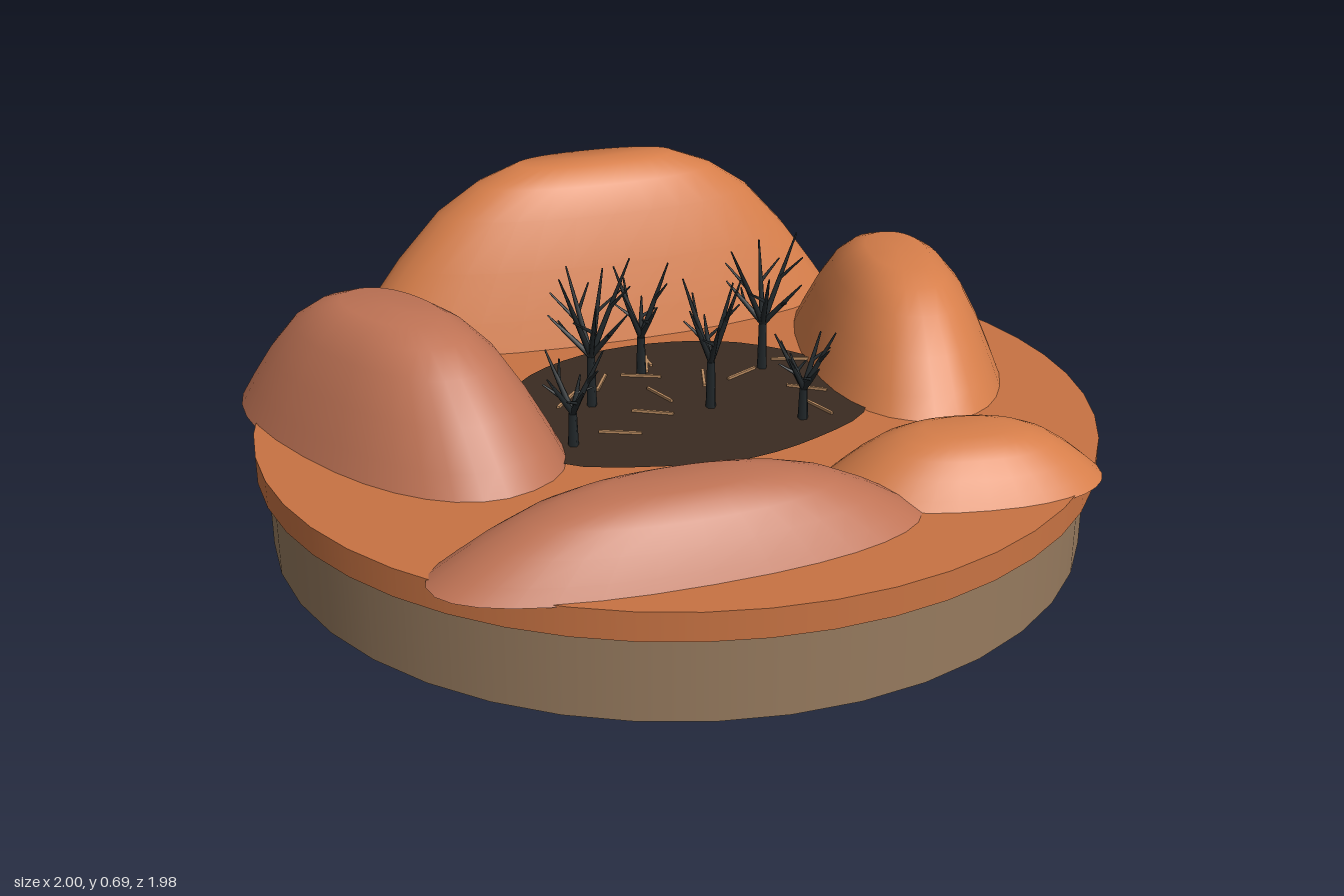
import * as THREE from 'three';

const mat = (name, color, extra = {}) => {
  const m = new THREE.MeshStandardMaterial({ color, ...extra });
  m.name = name;
  return m;
};

// Smooth flat-topped mound built from concentric oval rings
function moundGeometry(halfLength, halfWidth, height) {
  const rings = [[1, -0.03], [0.91, 0.18], [0.78, 0.46], [0.62, 0.74], [0.47, 0.9], [0.31, 1]];
  const n = 32, pos = [], index = [];
  const bulge = (v) => Math.sign(v) * Math.abs(v) ** 0.88;
  for (const [k, h] of rings) {
    for (let i = 0; i < n; i++) {
      const a = (i / n) * Math.PI * 2;
      pos.push(bulge(Math.cos(a)) * halfLength * k, h * height, bulge(Math.sin(a)) * halfWidth * k);
    }
  }
  pos.push(0, height, 0);
  const apex = rings.length * n;
  for (let r = 0; r < rings.length; r++) {
    for (let i = 0; i < n; i++) {
      const j = (i + 1) % n, a = r * n + i, b = r * n + j;
      if (r === rings.length - 1) index.push(a, apex, b);
      else index.push(a, a + n, b, b, a + n, b + n);
    }
  }
  const g = new THREE.BufferGeometry();
  g.setAttribute('position', new THREE.Float32BufferAttribute(pos, 3));
  g.setIndex(index);
  g.computeVertexNormals();
  return g;
}

// Tapered twig between two points
function twig(from, to, r0, r1, material) {
  const dir = to.clone().sub(from);
  const m = new THREE.Mesh(new THREE.CylinderGeometry(r1, r0, dir.length(), 5), material);
  m.position.copy(from).addScaledVector(dir, 0.5);
  m.quaternion.setFromUnitVectors(new THREE.Vector3(0, 1, 0), dir.normalize());
  m.name = 'twig';
  return m;
}

// Short trunk with leaning, forked branches
function shrub(height, spread, count, turn, material) {
  const g = new THREE.Group();
  g.name = 'shrub';
  const V = (x, y, z) => new THREE.Vector3(x, y, z);
  const fork = V(0, height * 0.36, 0);
  g.add(twig(V(0, 0, 0), fork, 0.013, 0.01, material));
  for (let i = 0; i < count; i++) {
    const a = turn + (i / count) * Math.PI * 2;
    const top = height * (0.82 + 0.18 * Math.cos(i * 2.3));
    const at = (r, y, da = 0) => V(Math.cos(a + da) * r, y, Math.sin(a + da) * r);
    const mid = at(spread * 0.5, height * 0.36 + (top - height * 0.36) * 0.5);
    g.add(twig(fork, mid, 0.008, 0.006, material));
    g.add(twig(mid, at(spread, top), 0.006, 0.002, material));
    g.add(twig(mid, at(spread * 0.95, top * 0.86, 0.55), 0.005, 0.002, material));
  }
  return g;
}

export function createModel() {
  const model = new THREE.Group();
  model.name = 'desertDiorama';
  const brown = mat('base brown', 0x967a5e);
  const sand = mat('sand orange', 0xc87343);
  const orange = mat('dune orange', 0xd67e4a);
  const clay = mat('dune clay', 0xbf7355);
  const soil = mat('dark soil', 0x3a2b21, { side: THREE.DoubleSide });
  const bark = mat('charred bark', 0x22282b);
  const straw = mat('straw', 0xb88a60);

  const add = (name, geometry, material, x, y, z) => {
    const m = new THREE.Mesh(geometry, material);
    m.name = name;
    m.position.set(x, y, z);
    model.add(m);
    return m;
  };

  // Round stand and sand slab
  add('base', new THREE.CylinderGeometry(0.965, 0.965, 0.2, 40), brown, -0.01, 0.1, 0);
  add('sandSlab', new THREE.CylinderGeometry(0.99, 0.99, 0.065, 48), sand, -0.01, 0.2275, 0);

  // Dunes: name, x, z, half length, half width, top, long axis direction, material
  const dunes = [
    ['backDune', 0.24, -0.62, 0.69, 0.245, 0.69, [1.28, 0.46], orange],
    ['leftEdgeDune', 0.65, 0.09, 0.48, 0.245, 0.525, [0.5, -0.72], orange],
    ['rightEdgeDune', -0.58, -0.33, 0.5, 0.265, 0.55, [0.06, 1], clay],
    ['frontLongDune', -0.46, 0.55, 0.53, 0.185, 0.405, [0.98, 0.38], clay],
    ['frontSmallDune', 0.21, 0.71, 0.31, 0.18, 0.375, [0.5, 0.29], orange],
  ];
  for (const [name, x, z, l, w, top, d, material] of dunes) {
    const m = add(name, moundGeometry(l, w, top - 0.26), material, x, 0.26, z);
    m.rotation.y = -Math.atan2(d[1], d[0]);
  }

  // Dark soil patch
  const outline = [[-0.44, 0.08], [-0.25, 0.27], [-0.1, 0.35], [0.1, 0.37], [0.3, 0.33], [0.42, 0.15],
    [0.43, -0.02], [0.35, -0.2], [0.2, -0.32], [0, -0.38], [-0.2, -0.35], [-0.36, -0.22]];
  const curve = new THREE.CatmullRomCurve3(outline.map(([x, z]) => new THREE.Vector3(x, -z, 0)), true);
  const shape = new THREE.Shape(curve.getPoints(40).map((p) => new THREE.Vector2(p.x, p.y)));
  add('soilPatch', new THREE.ShapeGeometry(shape), soil, 0, 0.264, 0).rotation.x = -Math.PI / 2;

  // Dry straws lying on the soil
  const straws = [[0.08, -0.22, 0.9], [-0.02, -0.05, 1.5], [-0.08, -0.2, 0.7], [0.13, -0.06, 0.9],
    [0.22, -0.02, 0.1], [0.28, 0.15, -1], [0.22, 0.25, 1.5], [-0.23, 0.06, -0.8], [0.1, -0.25, 1.2],
    [0.38, -0.01, -0.7], [-0.1, 0.02, -0.9], [-0.21, -0.17, 0.5], [0.02, -0.17, -0.8]];
  for (const [x, z, a] of straws) {
    add('straw', new THREE.BoxGeometry(0.1, 0.006, 0.007), straw, x, 0.268, z).rotation.y = a;
  }

  // Bare shrubs: x, z, height, spread, branches, turn
  const shrubs = [[-0.18, -0.11, 0.36, 0.1, 7, 0.3], [0.03, 0.08, 0.33, 0.07, 6, 1],
    [-0.35, 0.04, 0.23, 0.07, 5, 0.6], [0.29, -0.02, 0.34, 0.1, 6, 0.1],
    [0.15, 0.27, 0.22, 0.07, 6, 0.8], [0.03, -0.18, 0.29, 0.07, 5, 0.4]];
  for (const [x, z, h, s, n, turn] of shrubs) {
    const g = shrub(h, s, n, turn, bark);
    g.position.set(x, 0.26, z);
    model.add(g);
  }
  return model;
}
